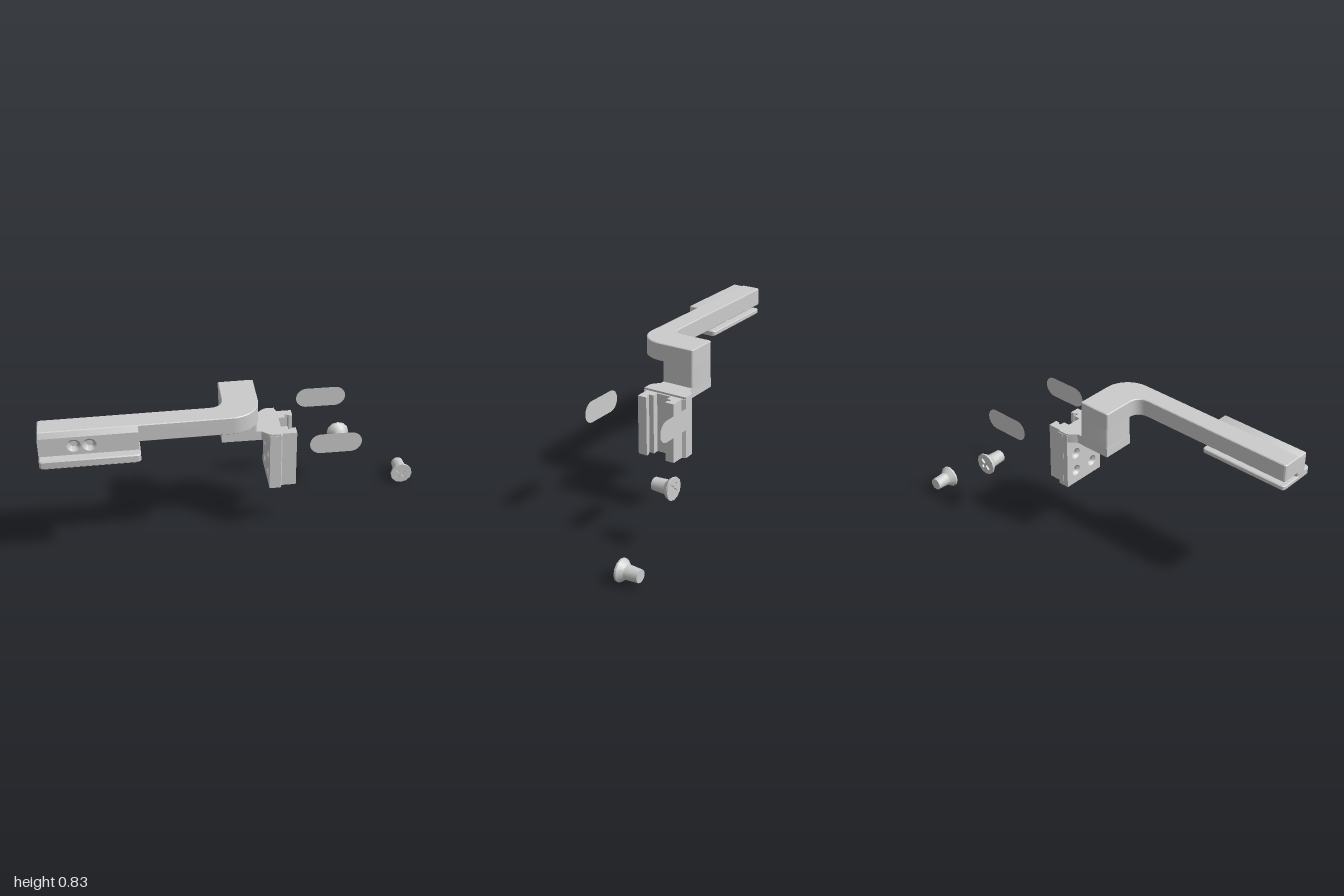
import * as THREE from 'three';
import { toCreasedNormals } from 'three/addons/utils/BufferGeometryUtils.js';

const material = new THREE.MeshStandardMaterial({ color: 0xcccccc });
const thin = new THREE.MeshStandardMaterial({ color: 0xcccccc, side: THREE.DoubleSide });

function add(parent, name, geometry, mat = material) {
  const mesh = new THREE.Mesh(toCreasedNormals(geometry, 0.6), mat);
  mesh.name = name;
  parent.add(mesh);
  return mesh;
}

// Extrusion along local z from start to end, with an optional small bevel
function prism(shape, start, end, b = 0) {
  const g = new THREE.ExtrudeGeometry(shape, {
    depth: end - start - 2 * b, curveSegments: 10, bevelEnabled: b > 0,
    bevelSize: b, bevelThickness: b, bevelOffset: -b, bevelSegments: 1
  });
  return g.translate(0, 0, start + b);
}
// Plan outline in (x, -z), extruded upwards
const plan = (shape, y0, y1, b) => prism(shape, y0, y1, b).rotateX(-Math.PI / 2);
// Outline in (-z, y), extruded along x
const across = (shape, x0, x1, b) => prism(shape, x0, x1, b).rotateY(Math.PI / 2);

function roundRect(x0, y0, x1, y1, r) {
  const s = new THREE.Shape();
  s.absarc(x1 - r, y0 + r, r, -Math.PI / 2, 0);
  s.absarc(x1 - r, y1 - r, r, 0, Math.PI / 2);
  s.absarc(x0 + r, y1 - r, r, Math.PI / 2, Math.PI);
  s.absarc(x0 + r, y0 + r, r, Math.PI, Math.PI * 1.5);
  s.closePath();
  return s;
}
const polygon = (pts) => new THREE.Shape(pts.map(([x, y]) => new THREE.Vector2(x, y)));
const punch = (shape, x, y, r) => shape.holes.push(new THREE.Path().absarc(x, y, r, 0, Math.PI * 2, true));

// Countersunk hole lining, its mouth facing the given direction
function countersink(parent, r, position, direction) {
  const pts = [[r, 0], [r * 0.55, -0.014], [r * 0.55, -0.026], [0, -0.026]];
  const m = add(parent, 'countersunkHole',
    new THREE.LatheGeometry(pts.map(p => new THREE.Vector2(...p)), 16), thin);
  m.position.set(...position);
  m.quaternion.setFromUnitVectors(new THREE.Vector3(0, 1, 0), new THREE.Vector3(...direction));
}

function createArm() {
  const arm = new THREE.Group();
  arm.name = 'arm';

  // Long bar with a bend towards the post
  const bar = new THREE.Shape();
  bar.moveTo(-1, -0.16);
  bar.quadraticCurveTo(-1, -0.145, -0.985, -0.145);
  bar.lineTo(-0.17, -0.145);
  bar.quadraticCurveTo(-0.1, -0.145, -0.1, -0.075);
  bar.lineTo(-0.1, 0.077);
  bar.quadraticCurveTo(-0.1, 0.087, -0.09, 0.087);
  bar.lineTo(0.068, 0.087);
  bar.quadraticCurveTo(0.078, 0.087, 0.078, 0.077);
  bar.lineTo(0.078, -0.11);
  bar.absarc(-0.064, -0.112, 0.142, 0, -Math.PI / 2, true);
  bar.lineTo(-1, -0.254);
  bar.closePath();
  add(arm, 'bentBar', plan(bar, 0.735, 0.83, 0.004));

  // Side rail with two countersunk holes
  const holes = [[-0.83, 0.778], [-0.755, 0.777]];
  const rail = roundRect(-1, 0.715, -0.52, 0.826, 0.006);
  holes.forEach(([x, y]) => punch(rail, x, y, 0.034));
  add(arm, 'sideRail', prism(rail, 0.252, 0.308));
  holes.forEach(([x, y]) => countersink(arm, 0.034, [x, y, 0.308], [0, 0, 1]));

  // Foot plate, its raised outer strip and the pad underneath
  add(arm, 'footPlate', plan(roundRect(-1, -0.354, -0.515, -0.145, 0.018), 0.685, 0.71, 0.004));
  add(arm, 'raisedStrip', plan(roundRect(-1, -0.354, -0.515, -0.255, 0.018), 0.7, 0.727, 0.005));
  add(arm, 'footPad', plan(roundRect(-0.99, -0.343, -0.525, -0.157, 0.018), 0.677, 0.687, 0.002));

  // Slight droop of the whole arm
  arm.rotation.z = 0.01;
  arm.position.x = 0.0077;
  return arm;
}

function createBracket() {
  const bracket = new THREE.Group();
  bracket.name = 'bracket';

  // Horizontal plate under the post, flaring out to the clamp
  const half = [[-0.1, 0.087], [0.1, 0.087], [0.135, 0.118], [0.15, 0.124], [0.195, 0.124]];
  const mirrored = half.map(([x, z]) => [x, -z]).reverse();
  const plate = polygon([...half, ...mirrored]);
  const under = [[0.025, 0.03], [-0.045, -0.035]];
  under.forEach(([x, z]) => punch(plate, x, -z, 0.03));
  add(bracket, 'bracketPlate', plan(plate, 0.577, 0.628));
  under.forEach(([x, z]) => countersink(bracket, 0.03, [x, 0.577, z], [0, -1, 0]));

  // Clamp back with four countersunk holes
  const back = polygon([[-0.127, 0.3], [0.125, 0.3], [0.125, 0.618], [-0.127, 0.618]]);
  const fixings = [-0.06, 0.06].flatMap(z => [0.375, 0.48].map(y => [z, y]));
  fixings.forEach(([z, y]) => punch(back, -z, y, 0.03));
  add(bracket, 'clampBack', across(back, 0.14, 0.17));
  fixings.forEach(([z, y]) => countersink(bracket, 0.03, [0.14, y, z], [-1, 0, 0]));

  // Clamp body with two hooked jaws
  const jaw = [[0.168, 0.126], [0.198, 0.126], [0.206, 0.106], [0.28, 0.106], [0.28, 0.056],
    [0.262, 0.056], [0.256, 0.066], [0.24, 0.066], [0.24, 0.04], [0.206, 0.04]];
  const otherJaw = jaw.map(([x, z]) => [x, -z]).reverse();
  add(bracket, 'clampJaws', plan(polygon([...jaw, ...otherJaw]), 0.3, 0.618));
  return bracket;
}

// Countersunk cross-head screw; the head faces local +z at z = 0
function createScrew() {
  const screw = new THREE.Group();
  screw.name = 'screw';
  const rim = new THREE.Shape();
  for (let i = 0; i < 12; i++) {
    const a = i / 12 * Math.PI * 2;
    rim[i ? 'lineTo' : 'moveTo'](0.059 * Math.cos(a), 0.059 * Math.sin(a));
  }
  rim.closePath();
  // Cross slot set on the diagonals
  const w = 0.008, l = 0.034;
  const cross = [[w, w], [w, l], [-w, l], [-w, w], [-l, w], [-l, -w], [-w, -w], [-w, -l], [w, -l], [w, -w], [l, -w], [l, w]];
  rim.holes.push(new THREE.Path(cross.map(([x, y]) =>
    new THREE.Vector2((x - y) * Math.SQRT1_2, (x + y) * Math.SQRT1_2))));
  add(screw, 'screwHead', prism(rim, -0.01, 0));
  const body = [[0, -0.11], [0.033, -0.11], [0.037, -0.037], [0.059, -0.01], [0, -0.01]];
  add(screw, 'screwShank', new THREE.LatheGeometry(body.map(p => new THREE.Vector2(...p)), 12, Math.PI / 2)
    .rotateX(Math.PI / 2));
  return screw;
}

export function createModel() {
  const model = new THREE.Group();
  model.name = 'mountingArmKit';
  model.add(createArm(), createBracket());

  // Post between bar and bracket
  add(model, 'post', plan(roundRect(-0.098, -0.09, 0.078, 0.087, 0.008), 0.628, 0.745));

  // Two loose pill-shaped pads
  for (const z of [0.197, -0.237]) {
    const pad = add(model, 'loosePad',
      new THREE.ShapeGeometry(roundRect(0.33, 0.547, 0.592, 0.659, 0.0555), 10), thin);
    pad.position.z = z;
  }

  // Two loose screws facing opposite ways
  const rear = createScrew();
  rear.position.set(0.574, 0.335, -0.3);
  rear.rotation.y = Math.PI;
  const front = createScrew();
  front.position.set(0.938, 0.06, -0.245);
  model.add(rear, front);
  return model;
}
